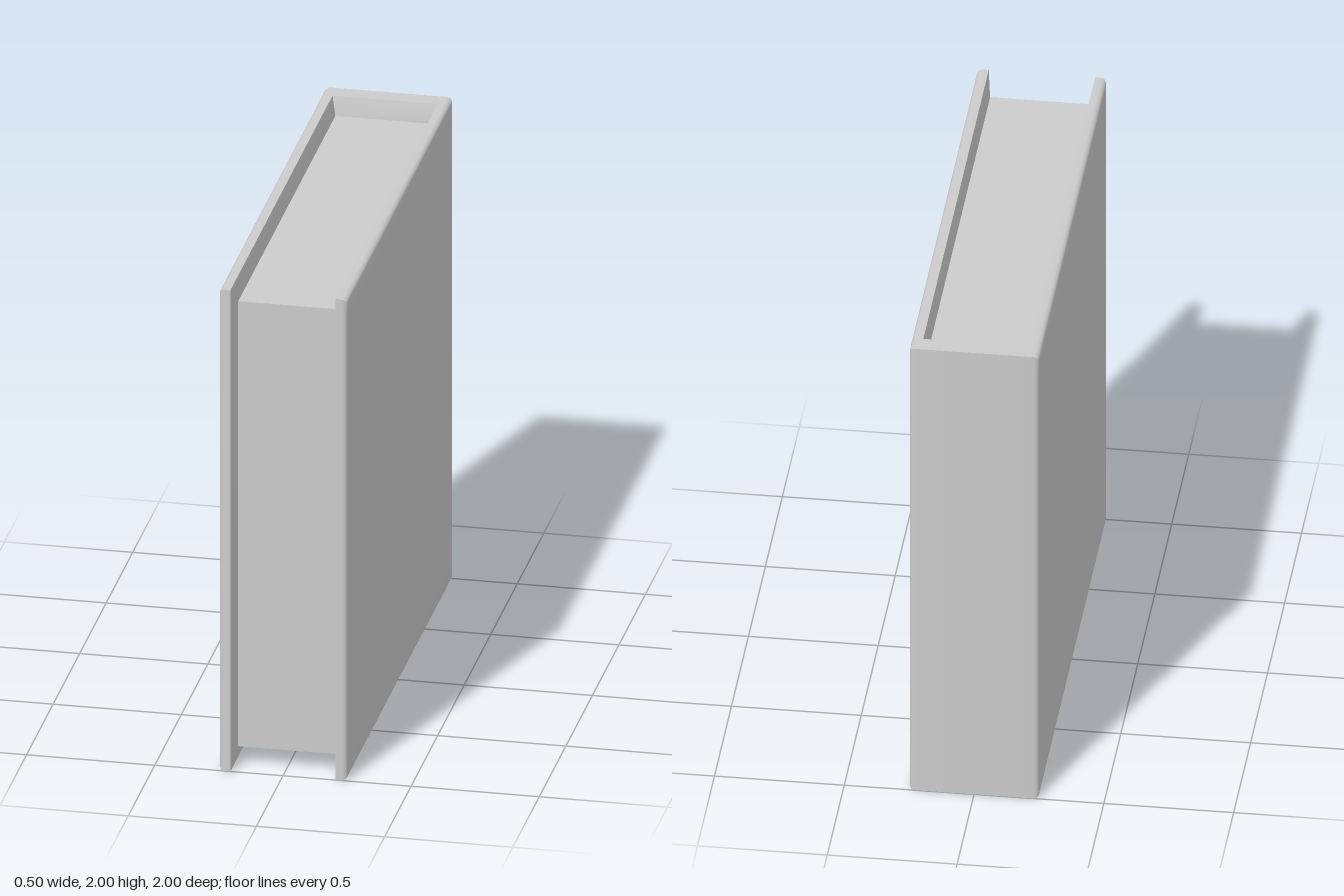
import * as THREE from 'three';
import { toCreasedNormals } from 'three/addons/utils/BufferGeometryUtils.js';

const W = 0.25, H = 2, D = 1;         // half width, height, half depth
const R = 0.02, STEPS = 4;            // rounding of the outer edges
const OVERHANG = 0.075;               // how far the cover stands past the pages
const LIP_X = 0.205, PAGE_X = 0.19;   // inner wall at the rim and at the pages
const LIP_Z = -0.925, PAGE_Z = -0.905;

// quarter arc: distance from the edge and matching sideways inset
const ARC = Array.from({ length: STEPS + 1 }, (_, k) => {
  const a = (k / STEPS) * Math.PI / 2;
  return { edge: R * (1 - Math.cos(a)), inset: R * (1 - Math.sin(a)) };
});

const mirrored = (pts) => pts.map(([x, z]) => [-x, z]).reverse();

// U-shaped cross-section of the cover at height y, as [x, z] points
function section(y, inset) {
  const t = Math.min(1, Math.min(y, H - y) / OVERHANG);
  const side = (a) => W - Math.max(a.inset, inset);
  const outer = [
    ...ARC.map((a) => [side(a), D - a.edge]),
    ...[...ARC].reverse().map((a) => [side(a), -D + a.edge]),
  ];
  const x = THREE.MathUtils.lerp(LIP_X, PAGE_X, t);
  const innerLeft = [
    [-LIP_X, D],
    [-x, D - OVERHANG * t],
    [-x, THREE.MathUtils.lerp(LIP_Z, PAGE_Z, t)],
  ];
  return [...outer, ...mirrored(outer), ...innerLeft, ...mirrored(innerLeft)];
}

function coverGeometry() {
  // levels from bottom to top
  const low = [...ARC.map((a) => [a.edge, a.inset]), [OVERHANG, 0]];
  const levels = [...low, ...low.map(([y, i]) => [H - y, i]).reverse()];
  const rings = levels.map(([y, inset]) => section(y, inset).map(([x, z]) => [x, y, z]));
  const n = rings[0].length;
  const pos = [];

  // walls
  for (let j = 0; j < rings.length - 1; j++) {
    for (let i = 0; i < n; i++) {
      const k = (i + 1) % n;
      const a = rings[j][i], b = rings[j][k], c = rings[j + 1][k], d = rings[j + 1][i];
      pos.push(...a, ...b, ...c, ...a, ...c, ...d);
    }
  }
  // top and bottom rims
  const top = rings[rings.length - 1], bottom = rings[0];
  const contour = top.map(([x, , z]) => new THREE.Vector2(x, -z));
  for (const [a, b, c] of THREE.ShapeUtils.triangulateShape(contour, [])) {
    pos.push(...top[a], ...top[b], ...top[c]);
    pos.push(...bottom[a], ...bottom[c], ...bottom[b]);
  }
  const g = new THREE.BufferGeometry();
  g.setAttribute('position', new THREE.Float32BufferAttribute(pos, 3));
  return toCreasedNormals(g, 0.5);
}

export function createModel() {
  const group = new THREE.Group();
  group.name = 'book';
  const material = new THREE.MeshStandardMaterial({ color: 0xcccccc });

  // cover boards and spine in one piece
  const cover = new THREE.Mesh(coverGeometry(), material);
  cover.name = 'cover';

  // page block, set back from the three open edges
  const front = D - OVERHANG;
  const pages = new THREE.Mesh(
    new THREE.BoxGeometry(2 * PAGE_X, H - 2 * OVERHANG, front - PAGE_Z), material);
  pages.position.set(0, H / 2, (front + PAGE_Z) / 2);
  pages.name = 'pages';

  group.add(cover, pages);
  return group;
}
